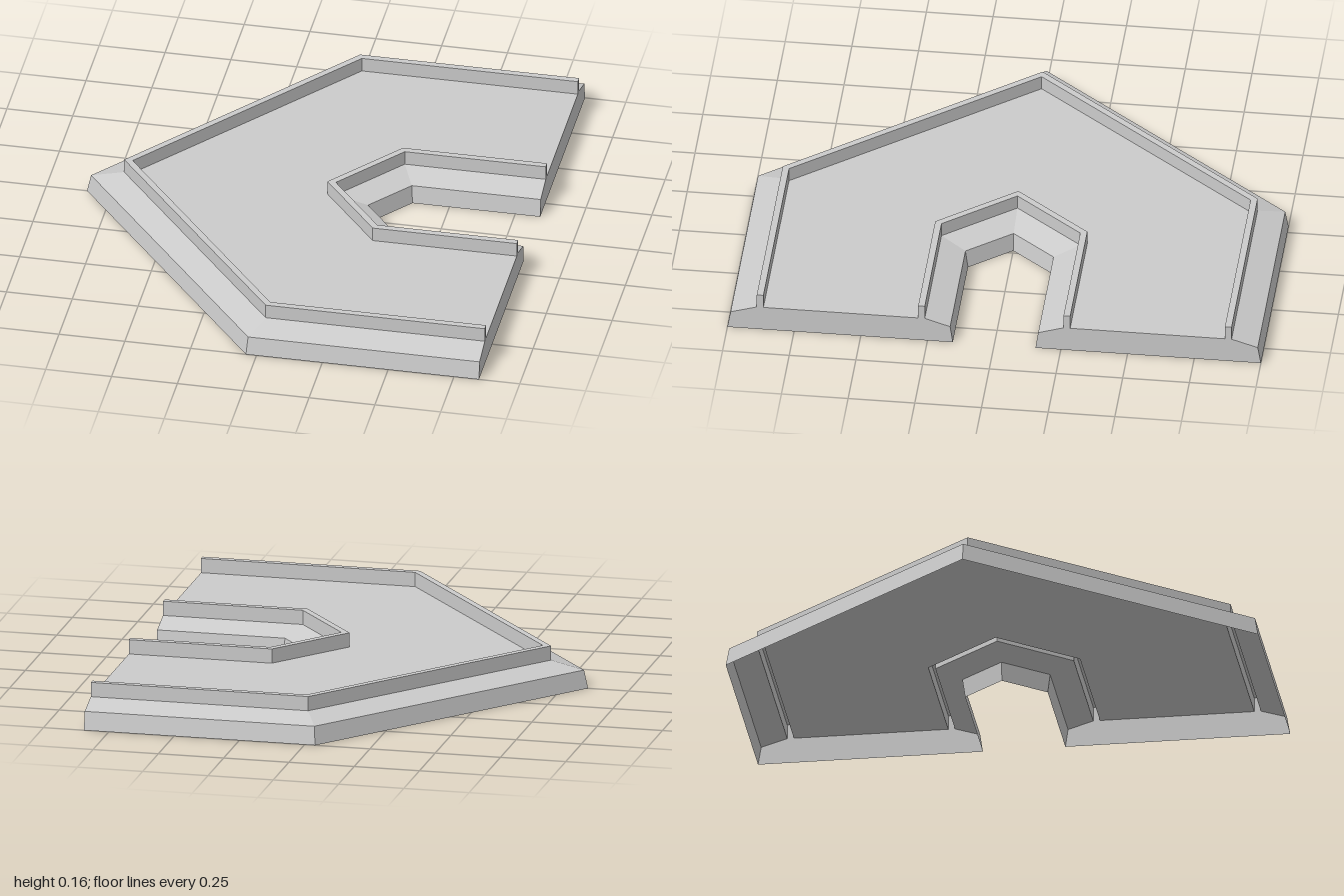
import * as THREE from 'three';

const END = 0.845;    // x of the open ends
const SLOPE = 0.805;  // x run of the diagonals per unit of z

// [offset from the edge, height] from the ground up over the parapet to the floor
const outerProfile = [[0, 0], [0.012, 0.07], [0.11, 0.1], [0.11, 0.155], [0.135, 0.155], [0.135, 0.1]];
const notchProfile = [[0, 0], [0.01, 0.07], [0.105, 0.1], [0.105, 0.155], [0.13, 0.155], [0.13, 0.1]];

// Pointed U outline as [x, z], from the open end round the tip and back
function outline(x, z) {
  return [[END, z], [x, z], [x - SLOPE * z, 0], [x, -z], [END, -z]];
}
const outerPath = d => outline(-0.04 + 0.48 * d, 1 - d);
const notchPath = d => outline(0.36 - 0.48 * d, 0.155 + d).reverse();

const material = new THREE.MeshStandardMaterial({
  color: 0xcccccc, flatShading: true, side: THREE.DoubleSide,
});

function addMesh(group, name, geometry) {
  const mesh = new THREE.Mesh(geometry, material);
  mesh.name = name;
  group.add(mesh);
}

// Faceted strip through the profile points, following the path
function sweep(path, profile) {
  const pos = [];
  for (let j = 0; j < profile.length - 1; j++) {
    const [d0, y0] = profile[j], [d1, y1] = profile[j + 1];
    const low = path(d0), high = path(d1);
    for (let i = 0; i < low.length - 1; i++) {
      const a = [low[i][0], y0, low[i][1]];
      const b = [low[i + 1][0], y0, low[i + 1][1]];
      const c = [high[i][0], y1, high[i][1]];
      const d = [high[i + 1][0], y1, high[i + 1][1]];
      pos.push(...b, ...a, ...c, ...b, ...c, ...d);
    }
  }
  const geometry = new THREE.BufferGeometry();
  geometry.setAttribute('position', new THREE.Float32BufferAttribute(pos, 3));
  geometry.computeVertexNormals();
  return geometry;
}

function flatShape(points) {
  return new THREE.ShapeGeometry(new THREE.Shape(points.map(p => new THREE.Vector2(...p))));
}

// Flat face on the open end, from [z, y] points
function endFace(points) {
  return flatShape(points.map(([z, y]) => [-z, y])).rotateY(Math.PI / 2).translate(END, 0, 0);
}

export function createModel() {
  const group = new THREE.Group();
  group.name = 'wallSection';

  // Skirt, sloped ledge and parapet around the outside and the notch
  const parts = [
    ['outer', outerPath, outerProfile],
    ['notch', notchPath, notchProfile],
  ];
  for (const [name, path, profile] of parts) {
    addMesh(group, name + 'Skirt', sweep(path, profile.slice(0, 3)));
    addMesh(group, name + 'Parapet', sweep(path, profile.slice(2)));
  }

  // Floor between the parapets
  const floor = [...outerPath(0.135), ...notchPath(0.13)].map(([x, z]) => [x, -z]);
  addMesh(group, 'floor', flatShape(floor).rotateX(-Math.PI / 2).translate(0, 0.1, 0));

  // End faces of both arms and their parapets
  const outer = outerProfile.map(([d, y]) => [1 - d, y]);
  const notch = notchProfile.map(([d, y]) => [0.155 + d, y]);
  const faces = [
    ['armEnd', [...outer.slice(0, 3), ...notch.slice(0, 3).reverse()]],
    ['outerParapetEnd', outer.slice(2)],
    ['notchParapetEnd', notch.slice(2)],
  ];
  for (const side of [1, -1]) {
    for (const [name, points] of faces) {
      addMesh(group, name, endFace(points.map(([z, y]) => [side * z, y])));
    }
  }
  return group;
}
